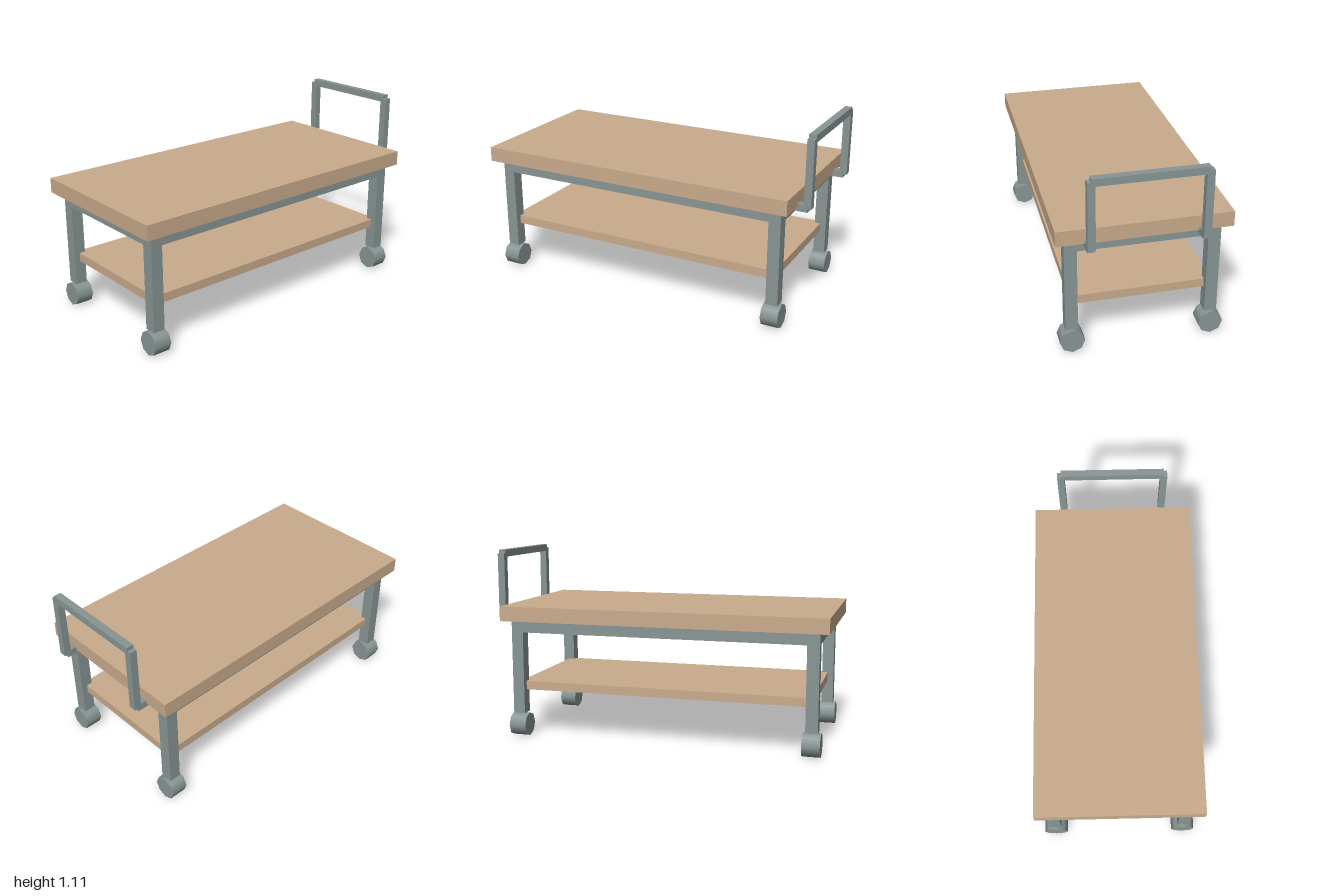
import * as THREE from 'three';

export function createModel() {
  const cart = new THREE.Group();
  cart.name = 'cart';
  const wood = new THREE.MeshStandardMaterial({ color: 0xc9ab8d });
  wood.name = 'wood';
  const metal = new THREE.MeshStandardMaterial({ color: 0x889695 });
  metal.name = 'metal';

  const add = (name, geometry, material, x, y, z) => {
    const mesh = new THREE.Mesh(geometry, material);
    mesh.name = name;
    mesh.position.set(x, y, z);
    cart.add(mesh);
  };
  // box from its minimum and maximum corners
  const box = (name, material, [x0, y0, z0], [x1, y1, z1]) =>
    add(name, new THREE.BoxGeometry(x1 - x0, y1 - y0, z1 - z0), material,
      (x0 + x1) / 2, (y0 + y1) / 2, (z0 + z1) / 2);

  const legX = [-0.91, 0.836]; // leg centres
  const legZ = 0.394;
  const h = 0.035;             // half thickness of legs and rails

  // Wooden boards
  box('tableTop', wood, [-1, 0.703, -0.48], [0.92, 0.79, 0.48]);
  box('lowerShelf', wood, [legX[0], 0.283, -legZ], [legX[1], 0.334, legZ]);

  // Legs with eight-sided wheels, and the short rails between them
  const wheel = new THREE.CylinderGeometry(0.07, 0.07, 0.102, 8).rotateZ(Math.PI / 2);
  for (const x of legX) {
    for (const z of [-legZ, legZ]) {
      box('leg', metal, [x - h, 0.143, z - h], [x + h, 0.703, z + h]);
      add('wheel', wheel, metal, x, 0.071, z);
    }
    box('endRail', metal, [x - h, 0.633, h - legZ], [x + h, 0.703, legZ - h]);
  }

  // Long rails
  for (const z of [-legZ, legZ])
    box('sideRail', metal, [legX[0] + h, 0.633, z - h], [legX[1] - h, 0.703, z + h]);

  // Push handle: brackets, uprights and grip bar
  for (const z of [-0.307, 0.307]) {
    box('handleBracket', metal, [legX[1], 0.682, z - 0.021], [0.978, 0.723, z + 0.021]);
    box('handleUpright', metal, [0.957, 0.703, z - 0.021], [0.999, 1.089, z + 0.021]);
  }
  box('handleGrip', metal, [0.958, 1.068, -0.307], [1, 1.11, 0.307]);

  return cart;
}
